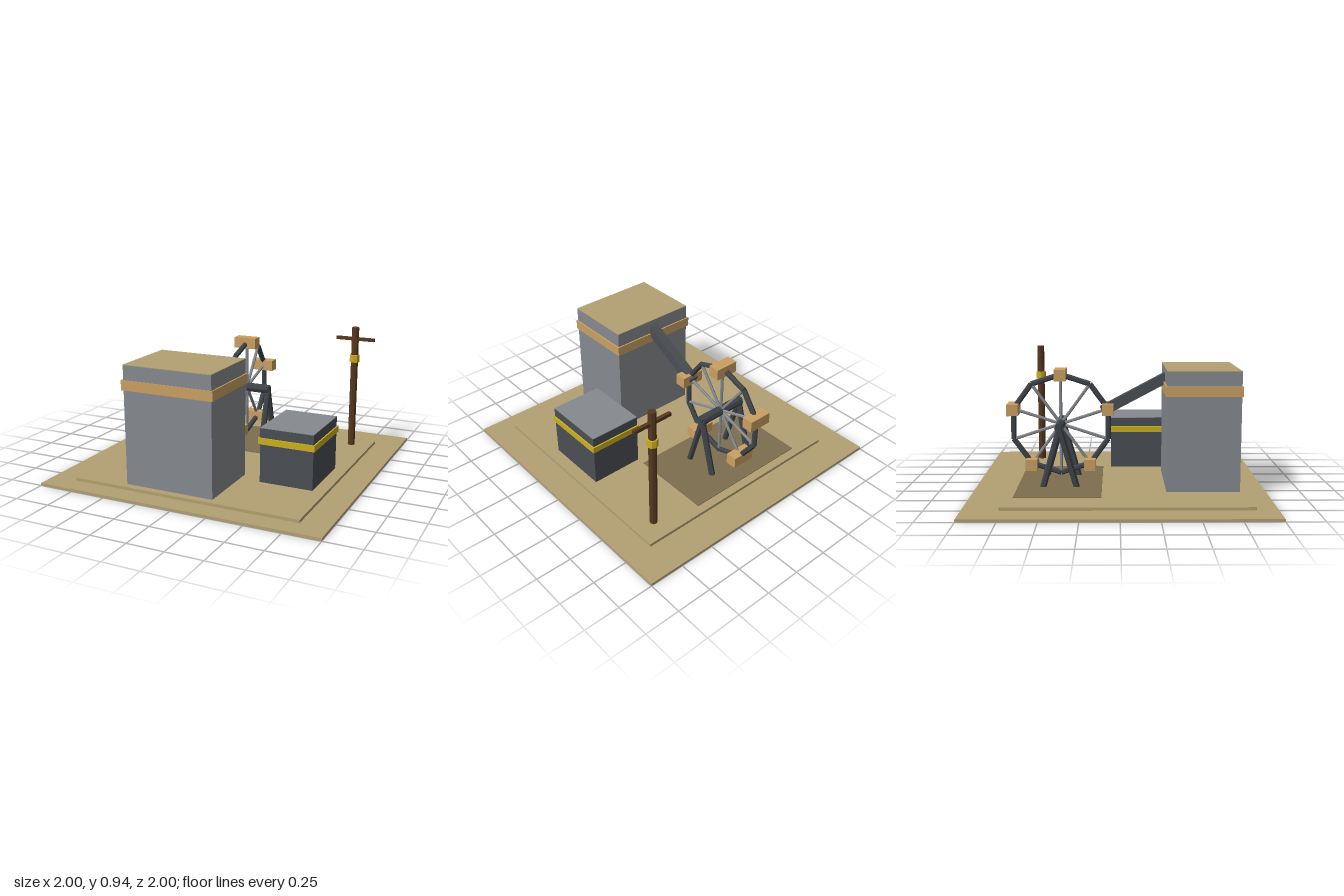
import * as THREE from 'three';

const mat = (name, color) => {
  const m = new THREE.MeshStandardMaterial({ color });
  m.name = name;
  return m;
};

export function createModel() {
  const root = new THREE.Group();
  root.name = 'waterWheelYard';

  const sand = mat('sand', 0xb3a173);
  const mud = mat('mud', 0x7d6f4f);
  const steel = mat('steel', 0x86898e);
  const darkSteel = mat('darkSteel', 0x4a4e53);
  const iron = mat('iron', 0x3f4449);
  const copper = mat('copper', 0xcaa062);
  const yellow = mat('yellow', 0xcbb020);
  const wood = mat('wood', 0x573820);

  const add = (name, geometry, material, parent = root) => {
    const mesh = new THREE.Mesh(geometry, material);
    mesh.name = name;
    parent.add(mesh);
    return mesh;
  };

  // Box given by its extents on each axis
  const box = (name, material, [x0, x1], [y0, y1], [z0, z1], parent) => {
    const mesh = add(name, new THREE.BoxGeometry(x1 - x0, y1 - y0, z1 - z0), material, parent);
    mesh.position.set((x0 + x1) / 2, (y0 + y1) / 2, (z0 + z1) / 2);
    return mesh;
  };

  // Low-poly rod between two points
  const rod = (name, material, a, b, radius, sides, parent) => {
    const from = new THREE.Vector3(...a), to = new THREE.Vector3(...b);
    const dir = to.clone().sub(from);
    const geo = new THREE.CylinderGeometry(radius, radius, dir.length(), sides).toNonIndexed();
    geo.computeVertexNormals();
    const mesh = add(name, geo, material, parent);
    mesh.position.copy(from).add(to).multiplyScalar(0.5);
    mesh.quaternion.setFromUnitVectors(new THREE.Vector3(0, 1, 0), dir.normalize());
    return mesh;
  };

  // Ground
  box('ground', sand, [-1, 1], [0, 0.018], [-1, 1]);
  box('yardSlab', sand, [-0.81, 0.81], [0.015, 0.039], [-0.76, 0.86]);
  box('mudPatch', mud, [-0.585, 0.345], [0.038, 0.044], [-0.70, -0.12]);

  // Tall building with band and sandy roof
  const tower = new THREE.Group();
  tower.name = 'tower';
  root.add(tower);
  box('towerBody', steel, [-0.435, 0.2], [0.035, 0.851], [0.315, 0.81], tower);
  box('towerRoof', sand, [-0.435, 0.2], [0.851, 0.855], [0.315, 0.81], tower);
  box('towerBand', copper, [-0.45, 0.21], [0.685, 0.753], [0.305, 0.817], tower);

  // Small shed
  const shed = new THREE.Group();
  shed.name = 'shed';
  root.add(shed);
  box('shedBody', darkSteel, [0.347, 0.722], [0.035, 0.417], [-0.06, 0.4], shed);
  box('shedRoof', steel, [0.347, 0.722], [0.417, 0.421], [-0.06, 0.4], shed);
  box('shedBand', yellow, [0.337, 0.732], [0.308, 0.352], [-0.07, 0.41], shed);

  // Chute sloping from the tower down to the wheel
  const run = 0.45, drop = 0.24;
  const chute = add('chute', new THREE.BoxGeometry(0.07, 0.07, Math.hypot(run, drop)), darkSteel);
  chute.position.set(-0.12, 0.664, 0.107);
  chute.rotation.x = -Math.atan2(drop, run);

  // Bucket wheel: ten-sided rim, spokes and five buckets
  const wheel = new THREE.Group();
  wheel.name = 'wheel';
  wheel.position.set(-0.12, 0.452, -0.41);
  root.add(wheel);
  const R = 0.348, N = 10;
  const rimPoint = (i) => {
    const a = (i / N) * Math.PI * 2;
    return [0, R * Math.cos(a), R * Math.sin(a)];
  };
  for (let i = 0; i < N; i++) {
    rod('rimSegment', iron, rimPoint(i), rimPoint(i + 1), 0.019, 6, wheel);
    rod('spoke', steel, [0, 0, 0], rimPoint(i), 0.011, 6, wheel);
    if (i % 2 === 0) {
      const bucket = add('bucket', new THREE.BoxGeometry(0.17, 0.08, 0.08), copper, wheel);
      bucket.position.set(...rimPoint(i));
    }
  }
  rod('axle', iron, [-0.185, 0, 0], [0.185, 0, 0], 0.034, 8, wheel);

  // A-frame legs on both sides of the wheel
  for (const x of [-0.295, 0.055]) {
    for (const s of [-1, 1]) {
      rod('frameLeg', iron, [x, 0.475, -0.41 - s * 0.008], [x, 0.035, -0.41 + s * 0.117], 0.022, 6);
    }
  }

  // Utility pole with crossarm and lamp ring
  const pole = new THREE.Group();
  pole.name = 'pole';
  root.add(pole);
  rod('poleShaft', wood, [0.663, 0.035, -0.615], [0.663, 0.942, -0.615], 0.027, 8, pole);
  box('crossarm', wood, [0.52, 0.808], [0.845, 0.868], [-0.627, -0.603], pole);
  rod('poleCollar', yellow, [0.663, 0.683, -0.615], [0.663, 0.738, -0.615], 0.037, 8, pole);

  return root;
}
